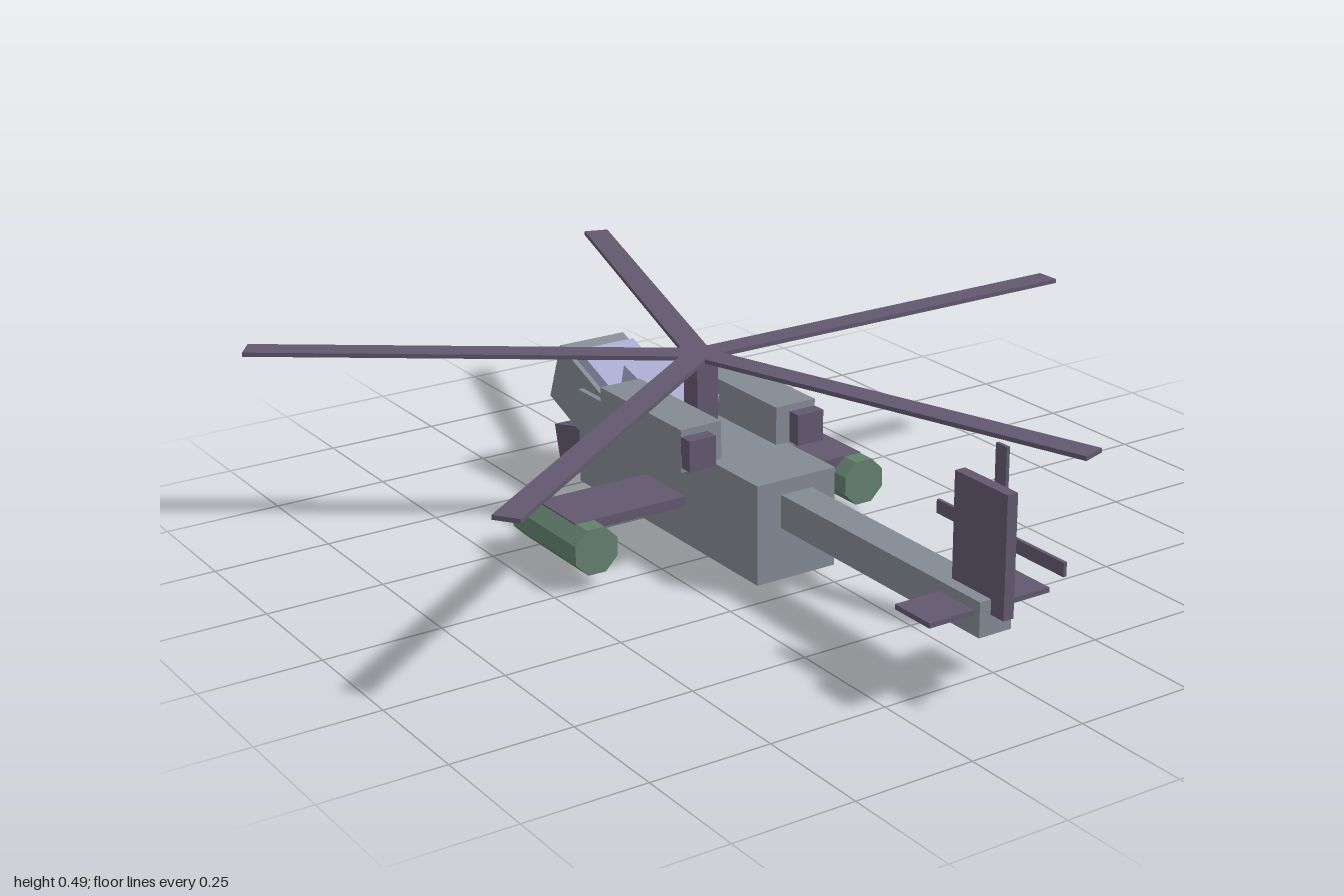
import * as THREE from 'three';

const mat = (name, color) => Object.assign(new THREE.MeshStandardMaterial({ color }), { name, flatShading: true });

export function createModel() {
  const grey = mat('hull grey', 0x848a93);
  const purple = mat('dark purple', 0x62586f);
  const green = mat('pod green', 0x64806f);
  const glass = mat('canopy lavender', 0xaaaad0);
  const red = mat('rocket red', 0xa8685c);

  const root = new THREE.Group();
  root.name = 'helicopter';
  const craft = new THREE.Group();
  craft.name = 'airframe';
  craft.position.x = -0.083; // the rotor reaches further to one side
  root.add(craft);

  const box = (name, material, size, pos, tilt = 0, parent = craft) => {
    const m = new THREE.Mesh(new THREE.BoxGeometry(...size), material);
    m.name = name;
    m.position.set(...pos);
    m.rotation.x = THREE.MathUtils.degToRad(tilt);
    parent.add(m);
    return m;
  };

  // Hull, tail boom and tilted nose (the nose points to -z)
  box('fuselage', grey, [0.185, 0.21, 0.68], [0, 0.135, -0.105]);
  box('tailBoom', grey, [0.073, 0.07, 0.63], [0, 0.175, 0.535]);
  box('nose', grey, [0.16, 0.138, 0.25], [0, 0.202, -0.447], 20.5);
  box('frontCanopy', glass, [0.138, 0.06, 0.15], [0, 0.261, -0.42], 20.5);
  box('rearCanopy', glass, [0.13, 0.065, 0.17], [0, 0.277, -0.226], 15);

  // Sensor turret and gun
  box('chinTurret', purple, [0.155, 0.09, 0.15], [0, 0.092, -0.493], -14);
  box('gunMount', purple, [0.06, 0.045, 0.062], [0, 0.0225, -0.469]);
  box('gunBarrel', purple, [0.012, 0.009, 0.2], [0, 0.029, -0.585]);

  // Tail surfaces
  box('tailFin', purple, [0.023, 0.24, 0.147], [0, 0.3, 0.812]);
  box('stabilizer', purple, [0.275, 0.01, 0.1], [0, 0.185, 0.785]);

  // Engines, wings and rocket pods on both sides
  for (const s of [-1, 1]) {
    box('engine', grey, [0.095, 0.09, 0.305], [s * 0.114, 0.275, -0.083]);
    box('exhaust', purple, [0.062, 0.065, 0.05], [s * 0.13, 0.273, 0.075]);
    box('wing', purple, [0.3, 0.022, 0.15], [s * 0.2, 0.122, -0.1]);

    const pod = new THREE.Group();
    pod.name = 'rocketPod';
    pod.position.set(s * 0.328, 0.084, -0.108);
    craft.add(pod);
    const shell = new THREE.Mesh(new THREE.CylinderGeometry(0.052, 0.052, 0.25, 8), green);
    shell.name = 'podShell';
    shell.rotation.set(Math.PI / 2, Math.PI / 8, 0);
    pod.add(shell);
    // Rocket tips: one in the centre, six around it
    for (let i = 0; i < 7; i++) {
      const r = i ? 0.03 : 0, a = i * Math.PI / 3;
      const tip = new THREE.Mesh(new THREE.CylinderGeometry(0.009, 0.009, 0.004, 8), red);
      tip.name = 'rocketTip';
      tip.rotation.x = Math.PI / 2;
      tip.position.set(r * Math.cos(a), r * Math.sin(a), -0.126);
      pod.add(tip);
    }
  }

  // Main rotor
  box('rotorMast', purple, [0.05, 0.16, 0.05], [0, 0.312, -0.105]);
  const rotor = new THREE.Group();
  rotor.name = 'mainRotor';
  rotor.position.set(0, 0.395, -0.112);
  craft.add(rotor);
  for (let i = 0; i < 5; i++) {
    const arm = new THREE.Group();
    arm.name = 'rotorArm';
    arm.rotation.y = i * Math.PI * 2 / 5;
    box('rotorBlade', purple, [0.93, 0.009, 0.055], [0.465, 0, 0], 0, arm);
    rotor.add(arm);
  }

  // Tail rotor: two crossed blades beside the fin
  box('tailRotorBlade', purple, [0.007, 0.027, 0.353], [0.026, 0.312, 0.823]);
  box('tailRotorBlade', purple, [0.007, 0.35, 0.03], [0.026, 0.312, 0.823]);

  return root;
}
